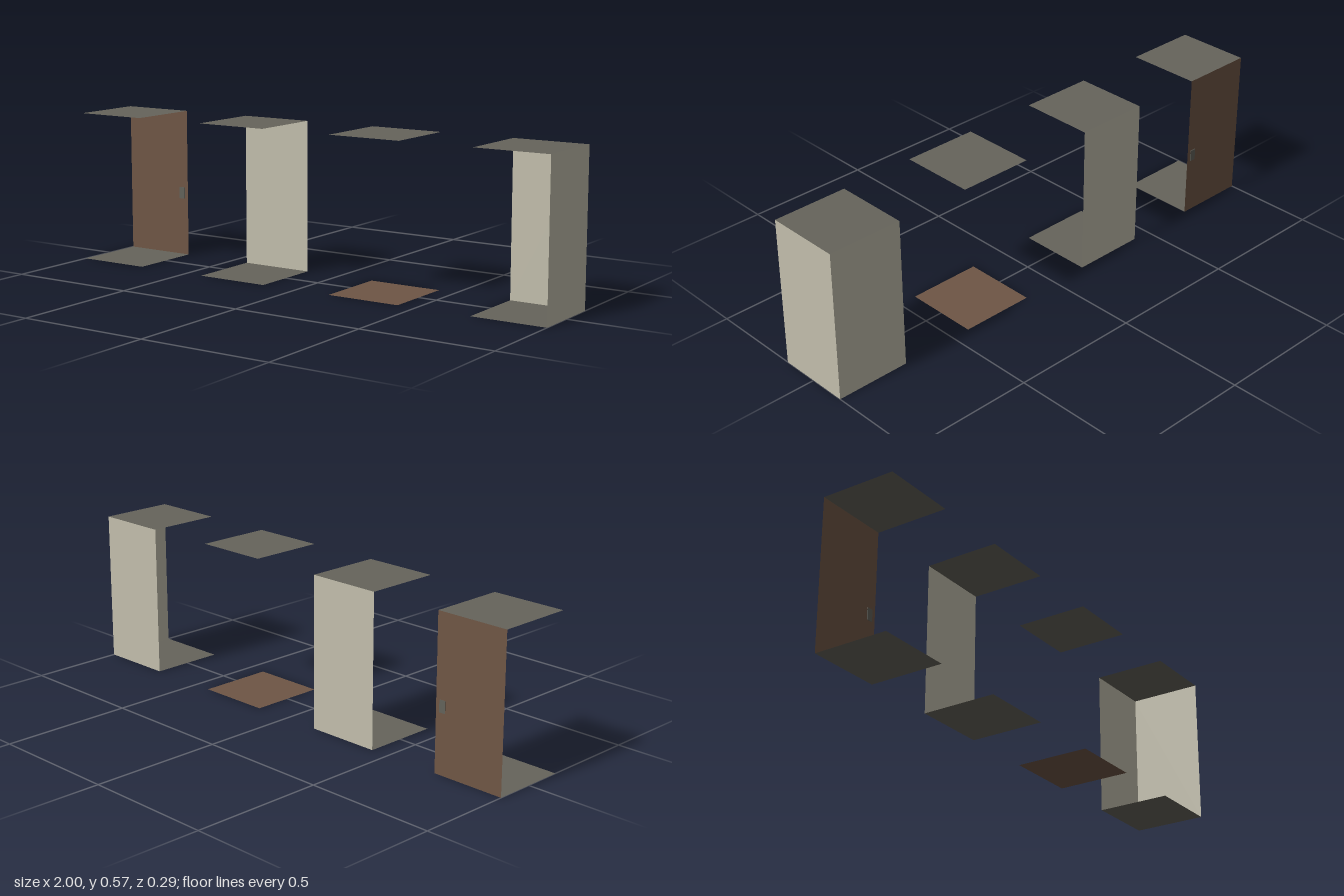
import * as THREE from 'three';

export function createModel() {
  const model = new THREE.Group();
  const W = 2 / 7, H = 4 / 7;

  const material = (name, color) => {
    const m = new THREE.MeshStandardMaterial({ color, side: THREE.DoubleSide });
    m.name = name;
    return m;
  };
  const plaster = material('pale plaster', 0xc2beac);
  const stone = material('dark stone', 0x66645b);
  const wood = material('brown wood', 0x6f5645);
  const metal = material('grey metal', 0x62625a);

  const add = (parent, name, geometry, mat, x, y, z) => {
    const mesh = new THREE.Mesh(geometry, mat);
    mesh.name = name;
    mesh.position.set(x, y, z);
    parent.add(mesh);
    return mesh;
  };

  const slab = new THREE.PlaneGeometry(W, W).rotateX(-Math.PI / 2);
  const panel = new THREE.PlaneGeometry(W, H);

  // Four room modules in a row, each with a floor and ceiling
  const modules = [
    { name: 'doorModule', back: wood, floor: stone },
    { name: 'wallModule', back: plaster, floor: stone },
    { name: 'openModule', floor: wood },
    { name: 'cornerModule', back: plaster, floor: stone, side: plaster },
  ];
  modules.forEach(({ name, back, floor, side }, i) => {
    const room = new THREE.Group();
    room.name = name;
    room.position.x = (i - 1.5) * 2 * W;
    add(room, 'floor', slab, floor, 0, 0, 0);
    add(room, 'ceiling', slab, stone, 0, H, 0);
    if (back) add(room, back === wood ? 'door' : 'backWall', panel, back, 0, H / 2, -W / 2);
    if (side) add(room, 'sideWall', panel, side, W / 2, H / 2, 0).rotation.y = Math.PI / 2;
    model.add(room);
  });

  // Door handle, a thin plate showing on both faces
  add(model.children[0], 'doorHandle', new THREE.BoxGeometry(0.025, 0.045, 0.004), metal, 0.115, 0.245, -W / 2);

  return model;
}
